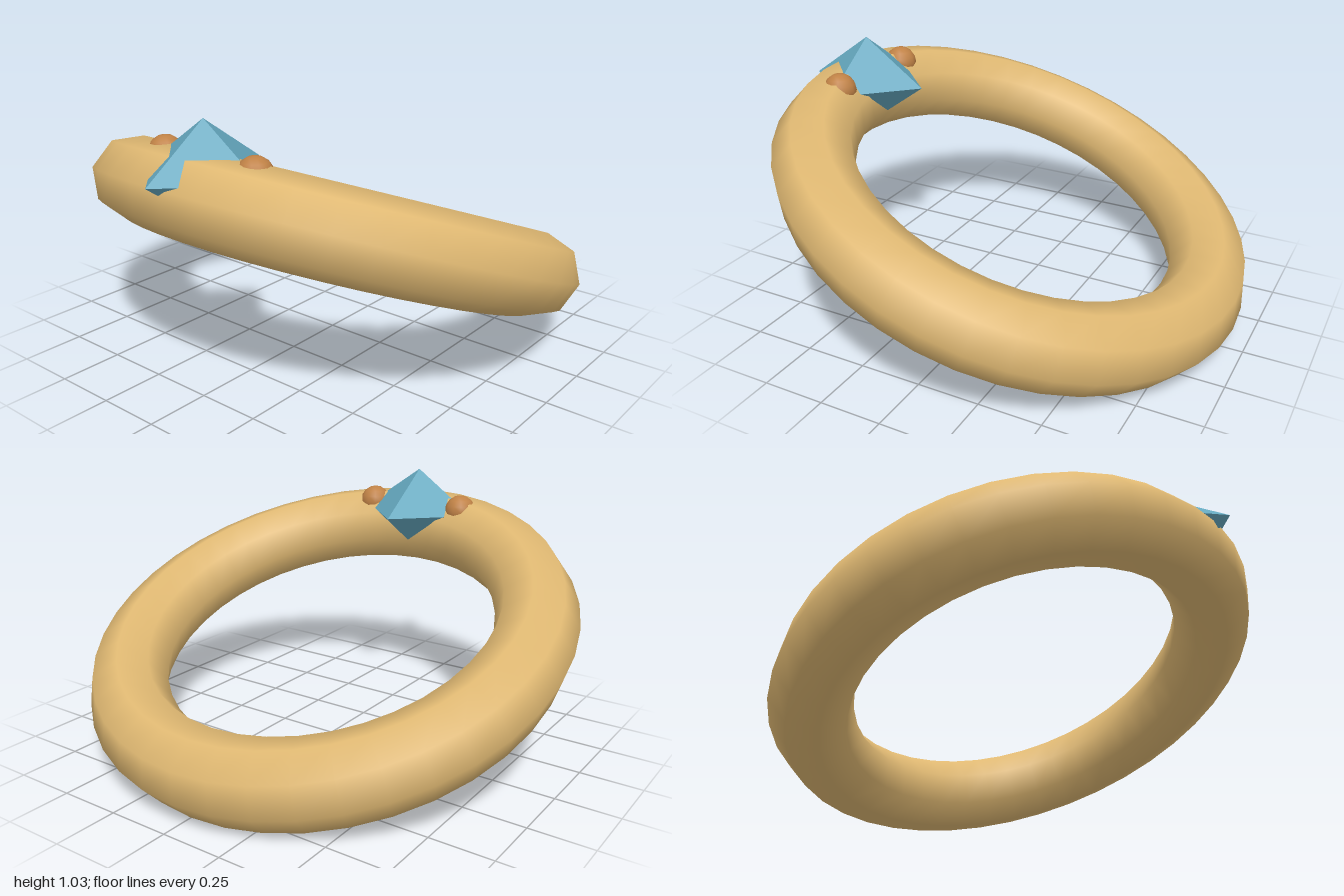
import * as THREE from 'three';

function material(name, color, flatShading = false) {
  const m = new THREE.MeshStandardMaterial({ color, flatShading });
  m.name = name;
  return m;
}

export function createModel() {
  const gold = material('gold', 0xdfb872);
  const copper = material('copper', 0xc08246);
  const blue = material('gemBlue', 0x64a7be, true);
  const group = new THREE.Group();
  group.name = 'ring';

  const add = (name, geometry, mat, x, y, z) => {
    const mesh = new THREE.Mesh(geometry, mat);
    mesh.name = name;
    mesh.position.set(x, y, z);
    group.add(mesh);
    return mesh;
  };

  // Band: an eight-sided tube tilted so that its front edge is raised
  const band = add('band', new THREE.TorusGeometry(0.838, 0.162, 8, 40), gold, 0, 0.463, -0.025);
  band.rotation.x = Math.PI / 2 - 0.38;

  // Gem: a squat upright octahedron sunk into the band
  const gem = add('gem', new THREE.OctahedronGeometry(0.265), blue, 0, 0.85, 0.69);
  gem.scale.y = 0.7;

  // Small beads on both sides of the gem
  for (const side of [1, -1]) {
    add(side > 0 ? 'leftBead' : 'rightBead',
      new THREE.SphereGeometry(0.067, 12, 8), copper, side * 0.22, 0.873, 0.673);
  }
  return group;
}
